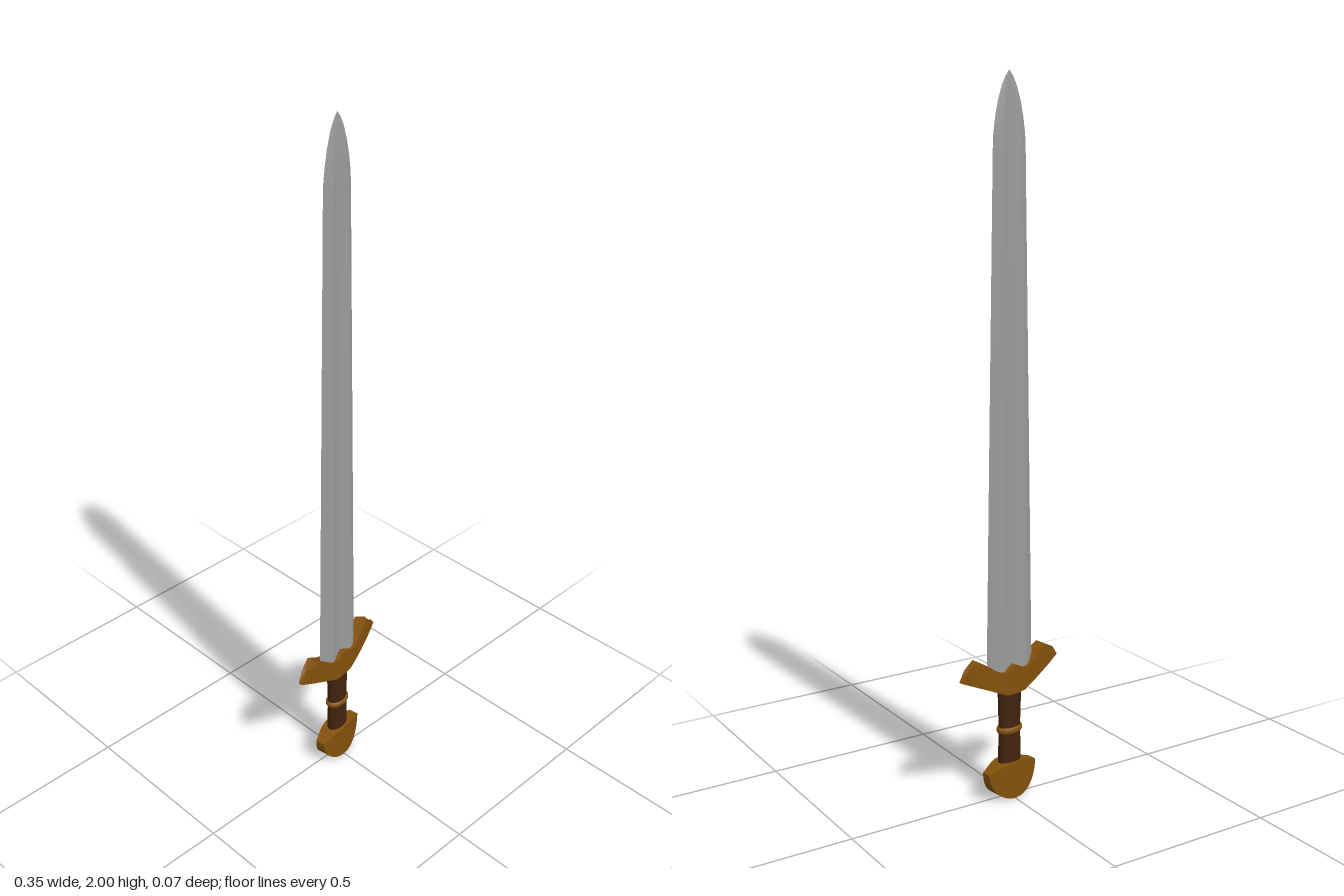
import * as THREE from 'three';
import { toCreasedNormals } from 'three/addons/utils/BufferGeometryUtils.js';

// Skins closed rings of [x, y, z] points and caps both ends
function loft(rings, crease) {
  const pos = [], n = rings[0].length;
  const tri = (a, b, c) => pos.push(...a, ...b, ...c);
  for (let i = 0; i < rings.length - 1; i++) {
    for (let j = 0; j < n; j++) {
      const k = (j + 1) % n, a = rings[i], b = rings[i + 1];
      tri(a[j], a[k], b[k]);
      tri(a[j], b[k], b[j]);
    }
  }
  const mid = (r) => [0, 1, 2].map((c) => r.reduce((s, p) => s + p[c], 0) / n);
  const first = rings[0], last = rings[rings.length - 1];
  for (let j = 0; j < n; j++) {
    const k = (j + 1) % n;
    tri(mid(first), first[k], first[j]);
    tri(mid(last), last[j], last[k]);
  }
  const g = new THREE.BufferGeometry();
  g.setAttribute('position', new THREE.Float32BufferAttribute(pos, 3));
  return toCreasedNormals(g, crease);
}

// Section of a fitting through three points of its face, lens-thin towards the ends
function section(points, width) {
  const side = (s) => points.map(([x, y]) => [x, y, s * width(x)]);
  return [...side(-1), ...side(1).reverse()];
}

export function createModel() {
  const steel = new THREE.MeshStandardMaterial({ color: 0x9a9a9a });
  steel.name = 'steel';
  const brass = new THREE.MeshStandardMaterial({ color: 0x82500c });
  brass.name = 'brass';
  const leather = new THREE.MeshStandardMaterial({ color: 0x42230e });
  leather.name = 'leather';

  const sword = new THREE.Group();
  sword.name = 'sword';
  const add = (name, geometry, material) => {
    const mesh = new THREE.Mesh(geometry, material);
    mesh.name = name;
    sword.add(mesh);
    return mesh;
  };

  // Blade: two soft ridges with a shallow fuller between them; [y, half width, thickness factor]
  const quarter = [[0.68, 0.0165], [0.57, 0.0205], [0.46, 0.0195], [0.3, 0.015], [0.15, 0.0118]];
  const half = [[1, 0], ...quarter, [0, 0.011],
    ...quarter.map(([x, z]) => [-x, z]).reverse()];
  const outline = [...half, ...half.map(([x, z]) => [-x, -z])].reverse();
  const stations = [[0.36, 0.0845, 1], [0.8, 0.0765, 0.88], [1.3, 0.067, 0.72], [1.8, 0.0575, 0.56],
    [1.84, 0.0555, 0.53], [1.88, 0.0495, 0.47], [1.92, 0.0405, 0.38], [1.96, 0.027, 0.25],
    [1.985, 0.0135, 0.12], [2, 0.0005, 0.01]];
  add('blade', loft(stations.map(([y, w, t]) =>
    outline.map(([x, z]) => [x * w, y, z * t])), 0.6), steel);

  // Guard: upswept arms with slanted, rounded ends and a small peak over the grip
  const arm = [ // bottom, middle, top
    [[0, 0.313], [0, 0.35], [0, 0.397]],
    [[0.018, 0.313], [0.017, 0.348], [0.016, 0.389]],
    [[0.034, 0.315], [0.034, 0.347], [0.034, 0.38]],
    [[0.06, 0.327], [0.058, 0.356], [0.055, 0.386]],
    [[0.09, 0.341], [0.083, 0.371], [0.075, 0.398]],
    [[0.135, 0.361], [0.12, 0.391], [0.098, 0.414]],
    [[0.178, 0.38], [0.156, 0.409], [0.12, 0.428]],
  ];
  const mirrored = arm.slice(1).reverse().map((s) => s.map(([x, y]) => [-x, y]));
  const guardWidth = (x) => 0.029 - 0.023 * (x / 0.178) ** 2;
  add('guard', loft([...mirrored, ...arm].map((s) => section(s, guardWidth)), 0.6), brass);

  // Grip: oval leather-wrapped handle with a brass ring at its middle
  const gripProfile = [[0.037, 0.09], [0.037, 0.14], [0.035, 0.2], [0.037, 0.26], [0.039, 0.335]];
  const grip = add('grip', new THREE.LatheGeometry(
    gripProfile.map(([r, y]) => new THREE.Vector2(r, y)), 24), leather);
  grip.scale.z = 0.64;
  const ringProfile = [[0.033, 0.193], [0.039, 0.194], [0.042, 0.199], [0.042, 0.205],
    [0.039, 0.21], [0.033, 0.211]];
  const ring = add('gripRing', new THREE.LatheGeometry(
    ringProfile.map(([r, y]) => new THREE.Vector2(r, y)), 24), brass);
  ring.scale.z = 0.66;

  // Pommel: half disc with a gently raised top
  const pommelStations = [];
  for (let i = 0; i <= 18; i++) {
    const a = Math.PI * (0.03 + 0.94 * i / 18);
    const x = -0.087 * Math.cos(a), bottom = 0.086 * (1 - Math.sin(a));
    const top = 0.107 - 0.02 * THREE.MathUtils.smoothstep(Math.abs(x), 0.025, 0.09);
    pommelStations.push([[x, bottom], [x, (bottom + top) / 2], [x, top]]);
  }
  const pommelWidth = (x) => 0.031 - 0.017 * (x / 0.087) ** 2;
  add('pommel', loft(pommelStations.map((s) => section(s, pommelWidth)), 0.6), brass);

  // The whole sword is turned slightly about its length
  sword.rotation.y = 0.16;
  const model = new THREE.Group();
  model.name = 'model';
  model.add(sword);
  return model;
}
